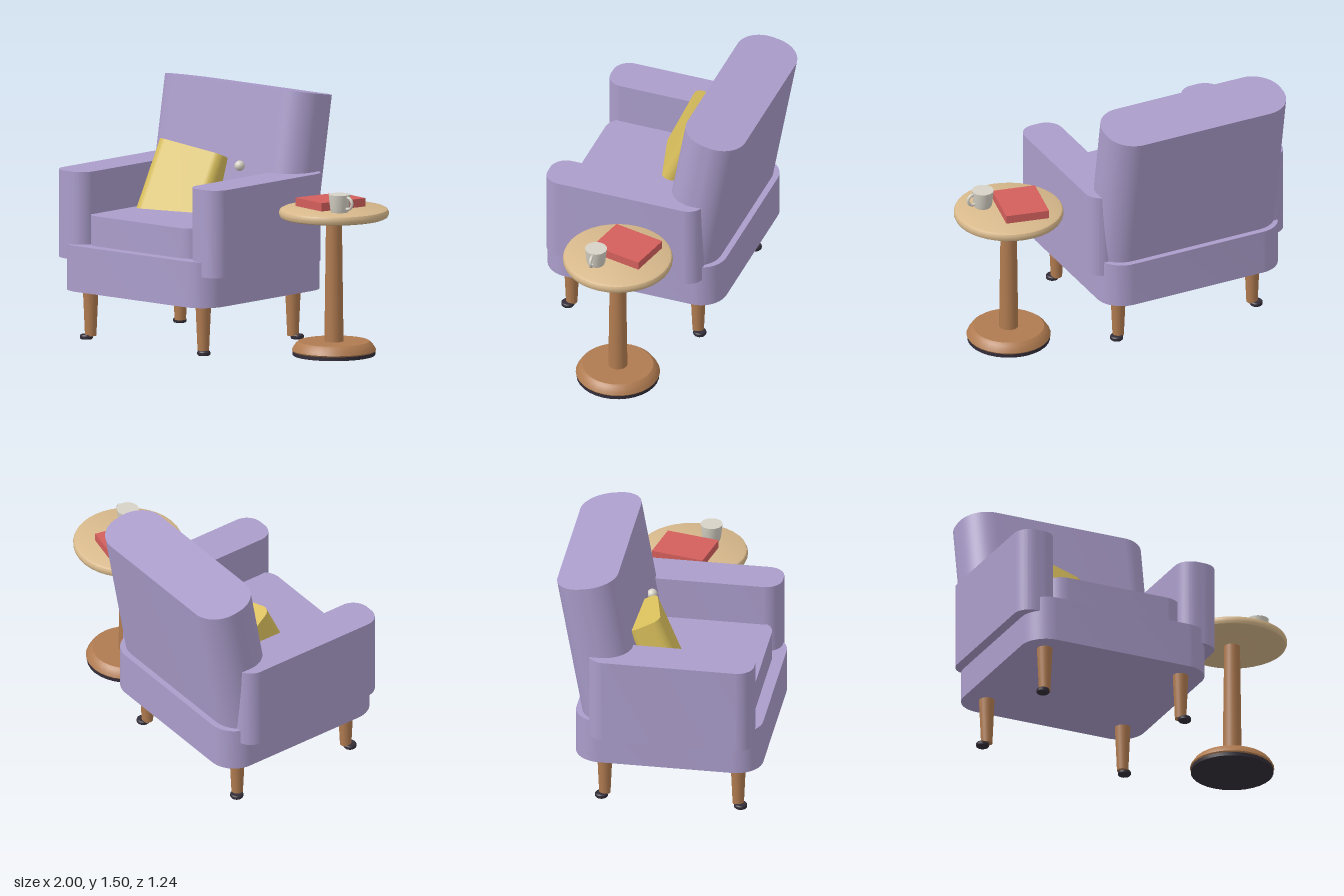
import * as THREE from 'three';
import { toCreasedNormals } from 'three/addons/utils/BufferGeometryUtils.js';

const mat = (name, color) => {
  const m = new THREE.MeshStandardMaterial({ color });
  m.name = name;
  return m;
};

// Upright block with rounded vertical corners: width x, height y, depth z, centred on the origin
function roundedBlock(w, h, d, r) {
  const x = w / 2, y = d / 2, s = new THREE.Shape();
  s.absarc(x - r, y - r, r, 0, Math.PI / 2);
  s.absarc(-x + r, y - r, r, Math.PI / 2, Math.PI);
  s.absarc(-x + r, -y + r, r, Math.PI, Math.PI * 1.5);
  s.absarc(x - r, -y + r, r, Math.PI * 1.5, Math.PI * 2);
  s.closePath();
  const g = new THREE.ExtrudeGeometry(s, { depth: h, bevelEnabled: false, curveSegments: 10 });
  g.translate(0, 0, -h / 2).rotateX(-Math.PI / 2);
  return toCreasedNormals(g, 0.6);
}

// Turned part from [radius, height] pairs
function turned(points, segments = 32) {
  const g = new THREE.LatheGeometry(points.map(([r, y]) => new THREE.Vector2(r, y)), segments);
  return toCreasedNormals(g, 0.6);
}

export function createModel() {
  const lilac = mat('lilac fabric', 0xab9dcb);
  const mustard = mat('mustard fabric', 0xd9bf5c);
  const wood = mat('brown wood', 0xb07b50);
  const paleWood = mat('pale wood', 0xd8b98c);
  const dark = mat('dark rubber', 0x332d38);
  const red = mat('red cover', 0xd35f5c);
  const cream = mat('cream ceramic', 0xd6d2c6);

  const model = new THREE.Group();
  const add = (parent, name, geometry, material, x = 0, y = 0, z = 0) => {
    const m = new THREE.Mesh(geometry, material);
    m.name = name;
    m.position.set(x, y, z);
    parent.add(m);
    return m;
  };

  // Armchair
  const chair = new THREE.Group();
  chair.name = 'armchair';
  chair.position.x = -0.35;
  model.add(chair);

  add(chair, 'base', roundedBlock(1.18, 0.275, 1.12, 0.16), lilac, 0, 0.4375, 0.06);
  add(chair, 'seatCushion', roundedBlock(0.88, 0.2, 0.85, 0.12), lilac, 0, 0.655, 0.125);
  const back = add(chair, 'backrest', roundedBlock(1.18, 0.95, 0.371, 0.17), lilac, 0, 0.999, -0.35);
  back.rotation.x = -0.175;

  const armGeo = roundedBlock(0.245, 0.525, 0.99, 0.1);
  const legGeo = turned([[0, 0.02], [0.034, 0.02], [0.047, 0.31], [0, 0.31]], 20);
  const footGeo = turned([[0, 0], [0.034, 0], [0.039, 0.006], [0.039, 0.02], [0.034, 0.027], [0, 0.027]], 20);
  const buttonGeo = new THREE.SphereGeometry(0.031, 20, 14);
  for (const s of [-1, 1]) {
    const side = s > 0 ? 'left' : 'right';
    add(chair, side + 'Arm', armGeo, lilac, s * 0.5275, 0.7475, 0.09);
    add(chair, side + 'Button', buttonGeo, cream, s * 0.185, 1.03, -0.145);
    for (const [end, z, dz] of [['Front', 0.473, 0.017], ['Back', -0.327, -0.017]]) {
      add(chair, side + end + 'Leg', legGeo, wood, s * 0.445, 0, z);
      add(chair, side + end + 'Foot', footGeo, dark, s * 0.464, 0, z + dz);
    }
  }

  // Loose pillow leaning on the backrest
  const pillow = add(model, 'pillow', roundedBlock(0.45, 0.5, 0.2, 0.06), mustard, -0.522, 0.862, -0.041);
  pillow.rotation.set(-0.4, 0.25, -0.07);

  // Side table
  const table = new THREE.Group();
  table.name = 'sideTable';
  table.position.set(0.675, 0, -0.038);
  model.add(table);

  add(table, 'floorPad', turned([[0, 0], [0.245, 0], [0.245, 0.022], [0, 0.022]]), dark);
  add(table, 'tableBase', turned([[0, 0.02], [0.243, 0.02], [0.25, 0.03], [0.243, 0.045],
    [0.226, 0.07], [0.21, 0.082], [0, 0.082]]), wood);
  add(table, 'column', turned([[0.057, 0.075], [0.047, 0.825]], 24), wood);
  add(table, 'tableTop', turned([[0, 0.822], [0.306, 0.822], [0.319, 0.829], [0.325, 0.842],
    [0.325, 0.86], [0.319, 0.872], [0.306, 0.879], [0, 0.879]], 36), paleWood);

  // Book and cup
  const book = add(model, 'book', new THREE.BoxGeometry(0.262, 0.05, 0.322), red, 0.614, 0.904, -0.075);
  book.rotation.y = -0.21;

  const cup = new THREE.Group();
  cup.name = 'cup';
  cup.position.set(0.8, 0.879, 0.053);
  model.add(cup);
  add(cup, 'cupBody', turned([[0, 0], [0.05, 0], [0.056, 0.02], [0.065, 0.106], [0, 0.106]], 28), cream);
  add(cup, 'cupHandle', new THREE.TorusGeometry(0.034, 0.009, 10, 24), cream, 0.064, 0.057, 0);

  return model;
}
